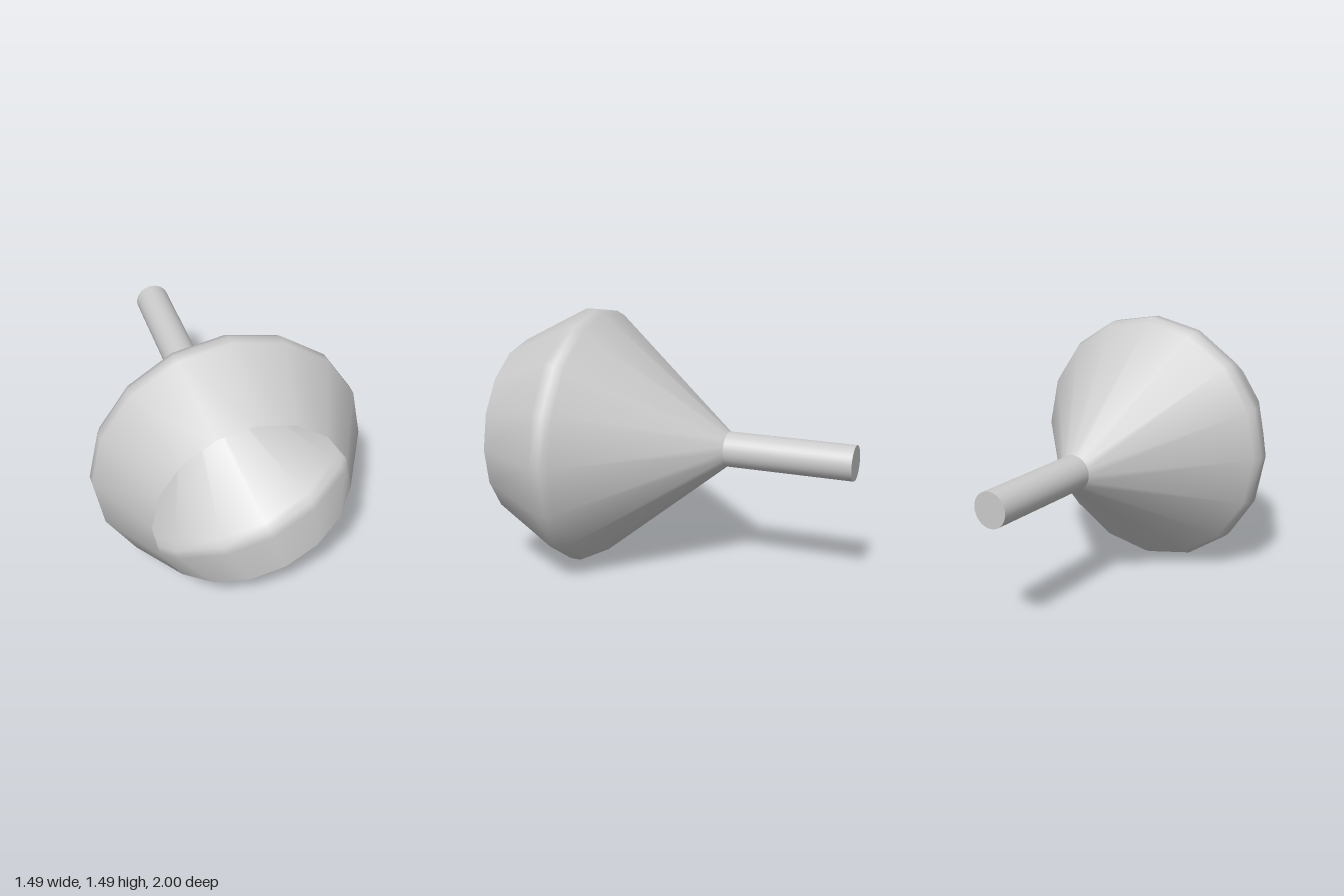
import * as THREE from 'three';

export function createModel() {
  const model = new THREE.Group();
  const axisY = 0.748;

  // Open thin-walled bell: radius and z from the neck to the front rim
  const profile = [
    [0.1, -0.27], [0.72, 0.49], [0.744, 0.54], [0.743, 0.6], [0.53, 1],
  ].map(([r, z]) => new THREE.Vector2(r, z));
  const bell = new THREE.Mesh(
    new THREE.LatheGeometry(profile, 16).rotateX(Math.PI / 2),
    new THREE.MeshStandardMaterial({ color: 0xcccccc, side: THREE.DoubleSide }),
  );
  bell.name = 'bell';
  bell.position.y = axisY;

  // Round stem behind the bell, its front cap closing the neck
  const stem = new THREE.Mesh(
    new THREE.CylinderGeometry(0.1, 0.1, 0.73, 32).rotateX(Math.PI / 2),
    new THREE.MeshStandardMaterial({ color: 0xcccccc }),
  );
  stem.name = 'stem';
  stem.position.set(0, axisY, -0.635);

  model.add(bell, stem);
  return model;
}
